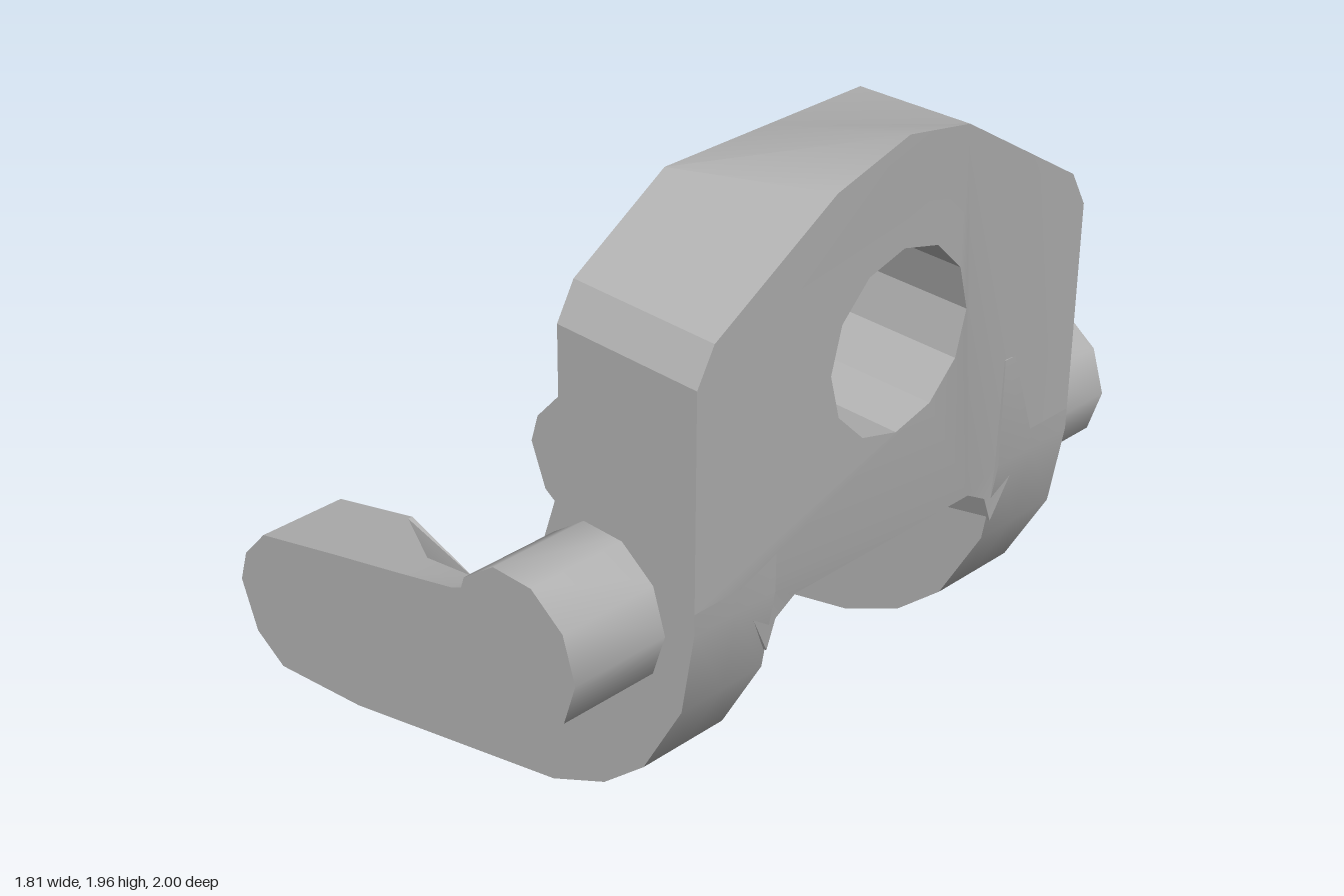
import * as THREE from 'three';
import { toCreasedNormals } from 'three/addons/utils/BufferGeometryUtils.js';

// Joins matching counter-clockwise outlines, ordered by rising z, and caps both ends
function loft(rings) {
  const n = rings[0].length, pos = [], index = [];
  rings.forEach(r => r.forEach(p => pos.push(...p)));
  for (let k = 0; k < rings.length - 1; k++) {
    for (let i = 0; i < n; i++) {
      const a = k * n + i, b = k * n + (i + 1) % n;
      index.push(a, b, b + n, a, b + n, a + n);
    }
  }
  const cap = (k, flip) => {
    const pts = rings[k].map(p => new THREE.Vector2(p[0], p[1]));
    for (const [a, b, c] of THREE.ShapeUtils.triangulateShape(pts, [])) {
      if (flip) index.push(k * n + a, k * n + c, k * n + b);
      else index.push(k * n + a, k * n + b, k * n + c);
    }
  };
  cap(0, true);
  cap(rings.length - 1, false);
  const g = new THREE.BufferGeometry();
  g.setAttribute('position', new THREE.Float32BufferAttribute(pos, 3));
  g.setIndex(index);
  return toCreasedNormals(g, 0.5);
}

// Bent arm, full height outside and scooped along its inner top edge
function armGeometry(side) {
  const lower = [[-0.74, 0], [-0.4, 0.035], [0.4, 0.21], [0.59, 0.3], [0.73, 0.42],
    [0.86, 0.65], [0.9, 0.89], [0.9, 1.2], [0.44, 1.2]];
  const upper = [[0.42, 1.05], [0.38, 0.93], [0.3, 0.81], [0.2, 0.7], [0.02, 0.62], [-0.2, 0.565]];
  const scoop = [[0.44, 1.0], [0.43, 0.68], [0.35, 0.52], [0.22, 0.42], [0.02, 0.37], [-0.2, 0.41]];
  const creaseZ = [0.61, 0.62, 0.63, 0.63, 0.63, 0.6];
  const tip = [[-0.47, 0.5], [-0.79, 0.42], [-0.88, 0.32], [-0.91, 0.22], [-0.85, 0.07]];
  const ring = (mid, z, midZ) => [
    ...lower.map(p => [...p, side * z]),
    ...mid.map((p, i) => [...p, side * (midZ ? midZ[i] : z)]),
    ...tip.map((p, i) => [...p, side * (midZ && i === 0 ? 0.44 : z)])
  ];
  const rings = [ring(scoop, 0.425), ring(upper, 0.56, creaseZ), ring(upper, 0.705)];
  return loft(side > 0 ? rings : rings.reverse());
}

// Upright plate with a round hole, a peaked top and a filleted underside
function plateGeometry() {
  const outline = [[-0.705, 0.95], [-0.55, 0.95], [-0.43, 0.62], [-0.4, 0.7], [-0.33, 0.74],
    [0.33, 0.74], [0.4, 0.7], [0.43, 0.62], [0.55, 0.95], [0.705, 0.95], [0.705, 1.55],
    [0.65, 1.65], [0.22, 1.92], [0, 1.96], [-0.25, 1.89], [-0.65, 1.65], [-0.705, 1.55]];
  const shape = new THREE.Shape(outline.map(p => new THREE.Vector2(...p)));
  const hole = [];
  for (let i = 0; i < 12; i++) {
    const a = -i * Math.PI / 6;
    hole.push(new THREE.Vector2(0.25 * Math.sin(a), 1.413 + 0.252 * Math.cos(a)));
  }
  shape.holes.push(new THREE.Path(hole));
  const g = new THREE.ExtrudeGeometry(shape, { depth: 0.46, steps: 1, bevelEnabled: false });
  const p = g.attributes.position;
  for (let i = 0; i < p.count; i++) {
    const u = p.getX(i), y = p.getY(i), inner = p.getZ(i) < 0.1;
    if (inner && y > 1.8) {
      // Lower, wider top on the inner face
      p.setXYZ(i, Math.abs(u) < 0.1 ? 0 : Math.sign(u) * 0.35, 1.84, p.getZ(i));
    } else if (!inner && y < 0.8) {
      // Underside climbs towards the outer face
      p.setXYZ(i, u, y + 0.09, p.getZ(i) - 0.02);
    }
  }
  g.rotateY(Math.PI / 2);
  g.translate(0.44, 0, 0);
  return toCreasedNormals(g, 0.5);
}

export function createModel() {
  const model = new THREE.Group();
  model.name = 'forkedBracket';
  const metal = new THREE.MeshStandardMaterial({ color: 0xb3b3b3 });
  metal.name = 'grey metal';
  const add = (name, geometry) => {
    const mesh = new THREE.Mesh(geometry, metal);
    mesh.name = name;
    model.add(mesh);
    return mesh;
  };

  add('uprightPlate', plateGeometry());

  for (const side of [1, -1]) {
    const label = side > 0 ? 'front' : 'back';
    add(label + 'Arm', armGeometry(side));

    // Pivot pin standing out from the arm
    const pin = new THREE.CylinderGeometry(0.213, 0.213, 0.36, 10);
    pin.rotateY(Math.PI / 10);
    pin.rotateX(Math.PI / 2);
    add(label + 'Pin', toCreasedNormals(pin, 0.7)).position.set(0.59, 0.842, side * 0.82);
  }
  return model;
}
